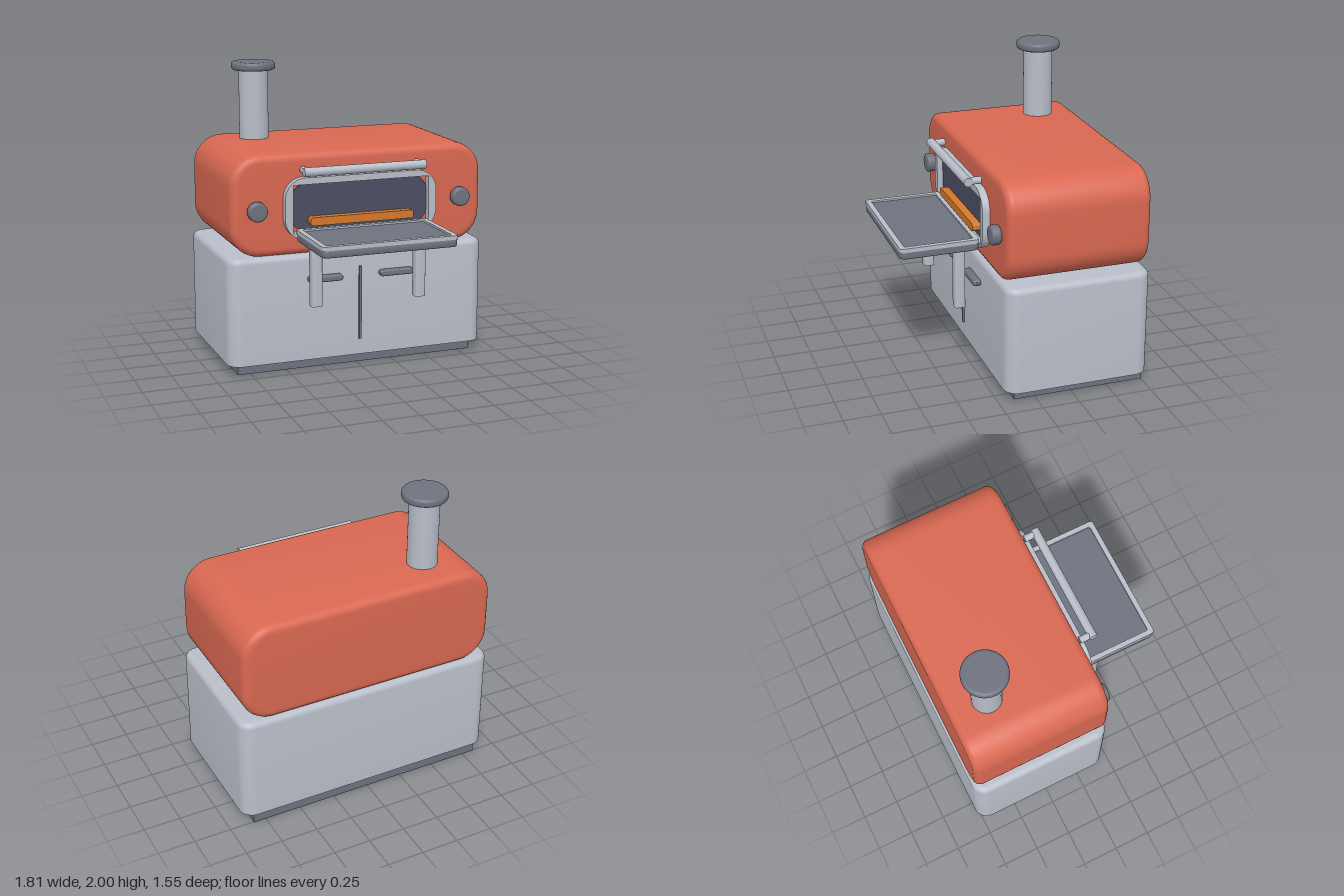
import * as THREE from 'three';
import { toCreasedNormals } from 'three/addons/utils/BufferGeometryUtils.js';

const paint = (name, color) => {
  const m = new THREE.MeshStandardMaterial({ color });
  m.name = name;
  return m;
};

// Rounded rectangle outline centred on the origin
function roundRect(w, h, r, Type = THREE.Shape) {
  const s = new Type(), x = w / 2, y = h / 2;
  if (r === 0) {
    s.moveTo(-x, -y).lineTo(x, -y).lineTo(x, y).lineTo(-x, y).closePath();
    return s;
  }
  s.absarc(x - r, y - r, r, 0, Math.PI / 2);
  s.absarc(r - x, y - r, r, Math.PI / 2, Math.PI);
  s.absarc(r - x, r - y, r, Math.PI, Math.PI * 1.5);
  s.absarc(x - r, r - y, r, Math.PI * 1.5, Math.PI * 2);
  s.closePath();
  return s;
}

// Slab running from z = 0 to z = depth, with softened rims that stay inside the outline
function slab(shape, depth, bevel = 0) {
  const g = new THREE.ExtrudeGeometry(shape, {
    depth: depth - 2 * bevel, curveSegments: 10, bevelEnabled: bevel > 0,
    bevelThickness: bevel, bevelSize: bevel, bevelOffset: -bevel, bevelSegments: 5,
  });
  g.translate(0, 0, bevel);
  return toCreasedNormals(g, 0.6);
}

// Round puck with softened rims, standing on y = 0
function puck(r, h, bevel) {
  const pts = [new THREE.Vector2(0, 0)];
  for (let i = 0; i <= 5; i++) {
    const a = -Math.PI / 2 + (i / 5) * Math.PI / 2;
    pts.push(new THREE.Vector2(r - bevel + Math.cos(a) * bevel, bevel + Math.sin(a) * bevel));
  }
  for (let i = 0; i <= 5; i++) {
    const a = (i / 5) * Math.PI / 2;
    pts.push(new THREE.Vector2(r - bevel + Math.cos(a) * bevel, h - bevel + Math.sin(a) * bevel));
  }
  pts.push(new THREE.Vector2(0, h));
  return new THREE.LatheGeometry(pts, 36);
}

export function createModel() {
  const red = paint('red enamel', 0xd96852);
  const steel = paint('light steel', 0xb8bdc8);
  const dark = paint('dark grey', 0x6d727e);
  const glass = paint('dark window', 0x4b4e62);
  const glow = paint('orange flame', 0xd4782a);

  const model = new THREE.Group();
  model.name = 'pizzaOven';
  const add = (name, geo, mat, x = 0, y = 0, z = 0) => {
    const m = new THREE.Mesh(geo, mat);
    m.name = name;
    m.position.set(x, y, z);
    model.add(m);
    return m;
  };

  // Cabinet: soft top edge, bottom edge clamped flat and sharp
  add('plinth', new THREE.BoxGeometry(1.67, 0.08, 0.895), dark, 0, 0.04, -0.3075);
  let cabinet = slab(roundRect(1.81, 0.985, 0.09), 0.765, 0.04).rotateX(-Math.PI / 2);
  const p = cabinet.attributes.position;
  for (let i = 0; i < p.count; i++) p.setY(i, Math.max(p.getY(i), 0.04));
  cabinet.deleteAttribute('normal');
  cabinet = toCreasedNormals(cabinet, 0.6);
  add('cabinet', cabinet, steel, 0, 0.035, -0.2825);
  add('doorSeam', new THREE.BoxGeometry(0.016, 0.505, 0.02), dark, 0, 0.4375, 0.216);

  // Oven body
  add('ovenBody', slab(roundRect(1.76, 0.675, 0.2), 0.965, 0.05), red, 0, 1.1375, -0.765);

  // Chimney
  add('chimney', new THREE.CylinderGeometry(0.1, 0.1, 0.5, 36), steel, -0.51, 1.71, -0.5);
  add('chimneyCap', puck(0.15, 0.058, 0.022), dark, -0.51, 1.942, -0.5);

  // Oven mouth
  const mouth = roundRect(1.06, 0.41, 0.14);
  mouth.holes.push(roundRect(0.95, 0.32, 0, THREE.Path));
  add('mouthFrame', slab(mouth, 0.055), steel, 0, 1.115, 0.195);
  add('window', slab(roundRect(0.95, 0.32, 0.1), 0.009), glass, 0, 1.115, 0.201);
  add('flame', slab(roundRect(0.725, 0.055, 0.02), 0.06), glow, 0, 1.028, 0.205);

  // Handle bar above the mouth
  add('handleBar', new THREE.CylinderGeometry(0.03, 0.03, 0.845, 24).rotateZ(Math.PI / 2), steel, 0, 1.368, 0.308);

  // Serving shelf with raised rim
  add('shelf', slab(roundRect(0.92, 0.53, 0.04), 0.053, 0.01).rotateX(-Math.PI / 2), dark, 0, 0.91, 0.51);
  const rim = roundRect(0.92, 0.53, 0.02);
  rim.holes.push(roundRect(0.85, 0.46, 0.015, THREE.Path));
  add('shelfRim', slab(rim, 0.027).rotateX(-Math.PI / 2), steel, 0, 0.958, 0.51);
  add('shelfPanel', new THREE.BoxGeometry(0.85, 0.015, 0.46), dark, 0, 0.9655, 0.51);

  // Mirrored pairs
  for (const [side, s] of [['left', 1], ['right', -1]]) {
    add(side + 'Knob', puck(0.065, 0.065, 0.018).rotateX(Math.PI / 2), dark, s * 0.713, 1.115, 0.2);
    add(side + 'HandlePost', new THREE.CylinderGeometry(0.024, 0.024, 0.09, 20).rotateX(Math.PI / 2),
      steel, s * 0.397, 1.368, 0.264);
    add(side + 'ShelfLeg', slab(roundRect(0.072, 0.07, 0.012), 0.43).rotateX(-Math.PI / 2),
      steel, s * 0.363, 0.49, 0.36);
    add(side + 'DoorHandle', slab(roundRect(0.24, 0.042, 0.02), 0.055, 0.012), dark, s * 0.252, 0.633, 0.206);
  }
  return model;
}
